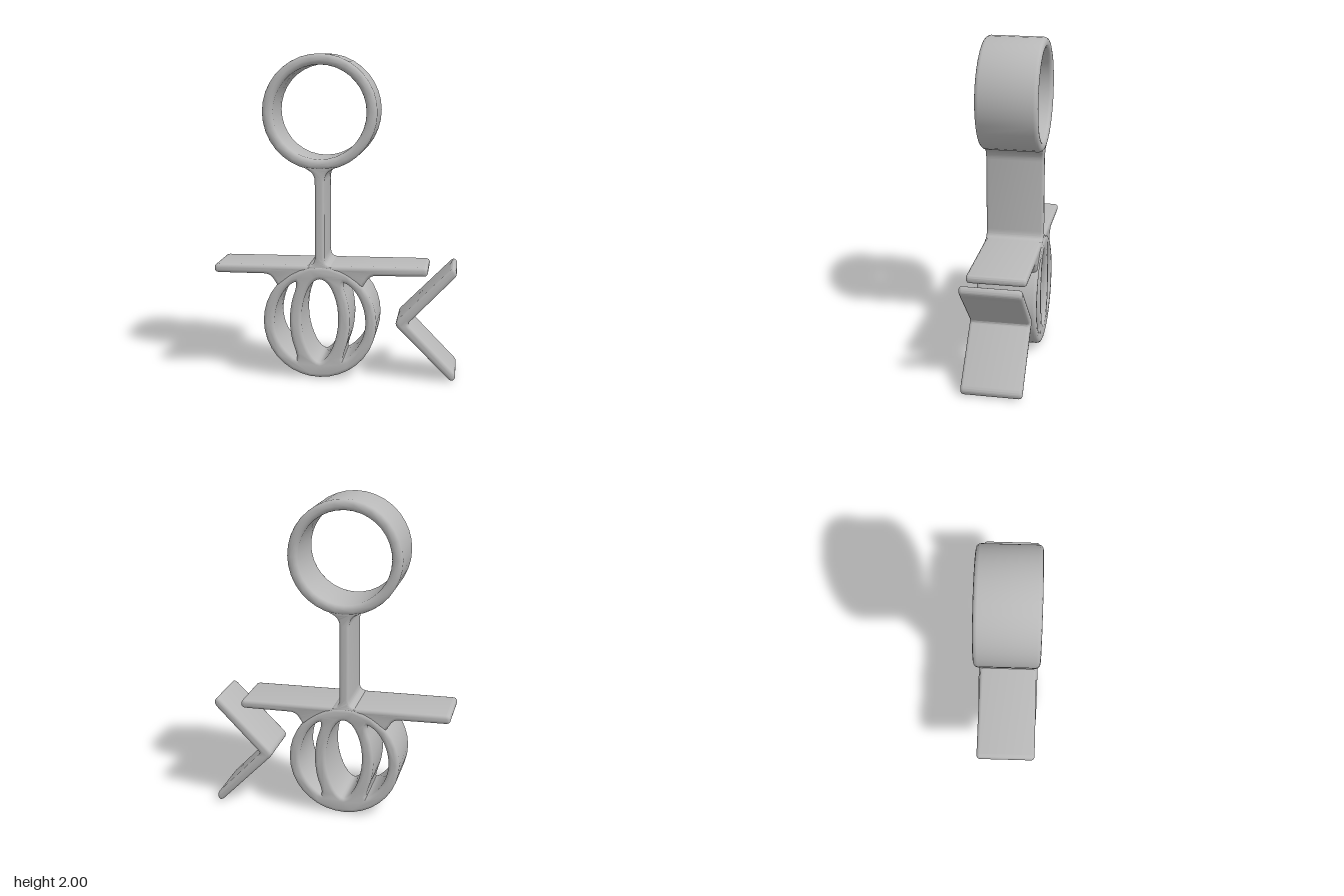
import * as THREE from 'three';
import { toCreasedNormals } from 'three/addons/utils/BufferGeometryUtils.js';

const CX = -0.085; // axis of the figure

// Closed outline whose corners [x, y, radius] are rounded
function rounded(corners) {
  const shape = new THREE.Shape();
  const n = corners.length;
  corners.forEach(([x, y, r], i) => {
    const towards = ([px, py]) => {
      const d = Math.hypot(px - x, py - y);
      const t = Math.min(r, d * 0.49) / d;
      return [x + (px - x) * t, y + (py - y) * t];
    };
    const a = towards(corners[(i + n - 1) % n]);
    const b = towards(corners[(i + 1) % n]);
    if (i === 0) shape.moveTo(...a);
    else shape.lineTo(...a);
    shape.quadraticCurveTo(x, y, ...b);
  });
  shape.closePath();
  return shape;
}

// Smooth closed hole through a few points
function splineHole(points) {
  const curve = new THREE.CatmullRomCurve3(
    points.map(([x, y]) => new THREE.Vector3(x, y, 0)), true, 'centripetal');
  return new THREE.Path(curve.getPoints(36).slice(0, -1).map(p => new THREE.Vector2(p.x, p.y)));
}

function disc(y, r) {
  return new THREE.Shape().absarc(CX, y, r, 0, Math.PI * 2, false);
}

export function createModel() {
  const group = new THREE.Group();
  const grey = new THREE.MeshStandardMaterial({ color: 0xb8b8b8 });
  grey.name = 'plain grey';

  // Slab with soft edges, centred on z = 0
  function slab(name, shape, halfDepth, bevel) {
    const geometry = new THREE.ExtrudeGeometry(shape, {
      depth: 2 * (halfDepth - bevel), curveSegments: 18, bevelEnabled: true,
      bevelThickness: bevel, bevelSize: bevel, bevelOffset: -bevel, bevelSegments: 3,
    });
    geometry.translate(0, 0, bevel - halfDepth);
    const mesh = new THREE.Mesh(toCreasedNormals(geometry, 0.8), grey);
    mesh.name = name;
    group.add(mesh);
  }

  // Upper ring
  const ring = disc(1.648, 0.352);
  ring.holes.push(new THREE.Path().absarc(CX, 1.648, 0.286, 0, Math.PI * 2, true));
  slab('upperRing', ring, 0.19, 0.026);

  // Stem, flaring into the ring above and the crossbar below
  const right = [
    [0.08, 0.685, 0.01], [0.075, 0.705, 0.01], [0.029, 0.72, 0.045],
    [0.029, 1.272, 0.05], [0.1, 1.315, 0.01], [0.07, 1.335, 0.01],
  ];
  const left = right.map(([x, y, r]) => [-x, y, r]).reverse();
  slab('stem', rounded([...right, ...left].map(([x, y, r]) => [CX + x, y, r])), 0.184, 0.016);

  // Crossbar with fillets where it meets the lower ring
  const dip = [
    [0.31, 0.65, 0.04], [0.262, 0.575, 0.01], [0.215, 0.6, 0.01], [0.12, 0.66, 0.01],
  ];
  slab('crossbar', rounded([
    [-0.745, 0.652, 0.03], 
    ...dip.map(([x, y, r]) => [CX - x, y, r]),
    ...dip.map(([x, y, r]) => [CX + x, y, r]).reverse(),
    [0.58, 0.652, 0.03], [0.58, 0.707, 0.03], [-0.745, 0.707, 0.03],
  ]), 0.183, 0.02);

  // Lower ring with two bowed ribs, left between three openings
  const basket = disc(0.352, 0.352);
  basket.holes.push(splineHole([
    [0, 0.098], [0.045, 0.13], [0.095, 0.235], [0.115, 0.36], [0.1, 0.49], [0.05, 0.595],
    [0, 0.622], [-0.05, 0.595], [-0.1, 0.49], [-0.115, 0.36], [-0.095, 0.235], [-0.045, 0.13],
  ].map(([x, y]) => [CX + x, y])));
  for (const side of [-1, 1]) {
    basket.holes.push(splineHole([
      [0.145, 0.115], [0.215, 0.17], [0.268, 0.26], [0.284, 0.36], [0.262, 0.47], [0.21, 0.56],
      [0.15, 0.602], [0.148, 0.57], [0.174, 0.48], [0.188, 0.36], [0.174, 0.235], [0.148, 0.15],
    ].map(([x, y]) => [CX + side * x, y])));
  }
  slab('lowerRing', basket, 0.19, 0.022);

  // Free-standing chevron beside the lower ring
  slab('chevron', rounded([
    [0.372, 0.355, 0.04], [0.735, -0.008, 0.035], [0.763, 0.04, 0.035],
    [0.458, 0.355, 0.02], [0.763, 0.67, 0.035], [0.735, 0.718, 0.035],
  ]), 0.188, 0.02);

  return group;
}
